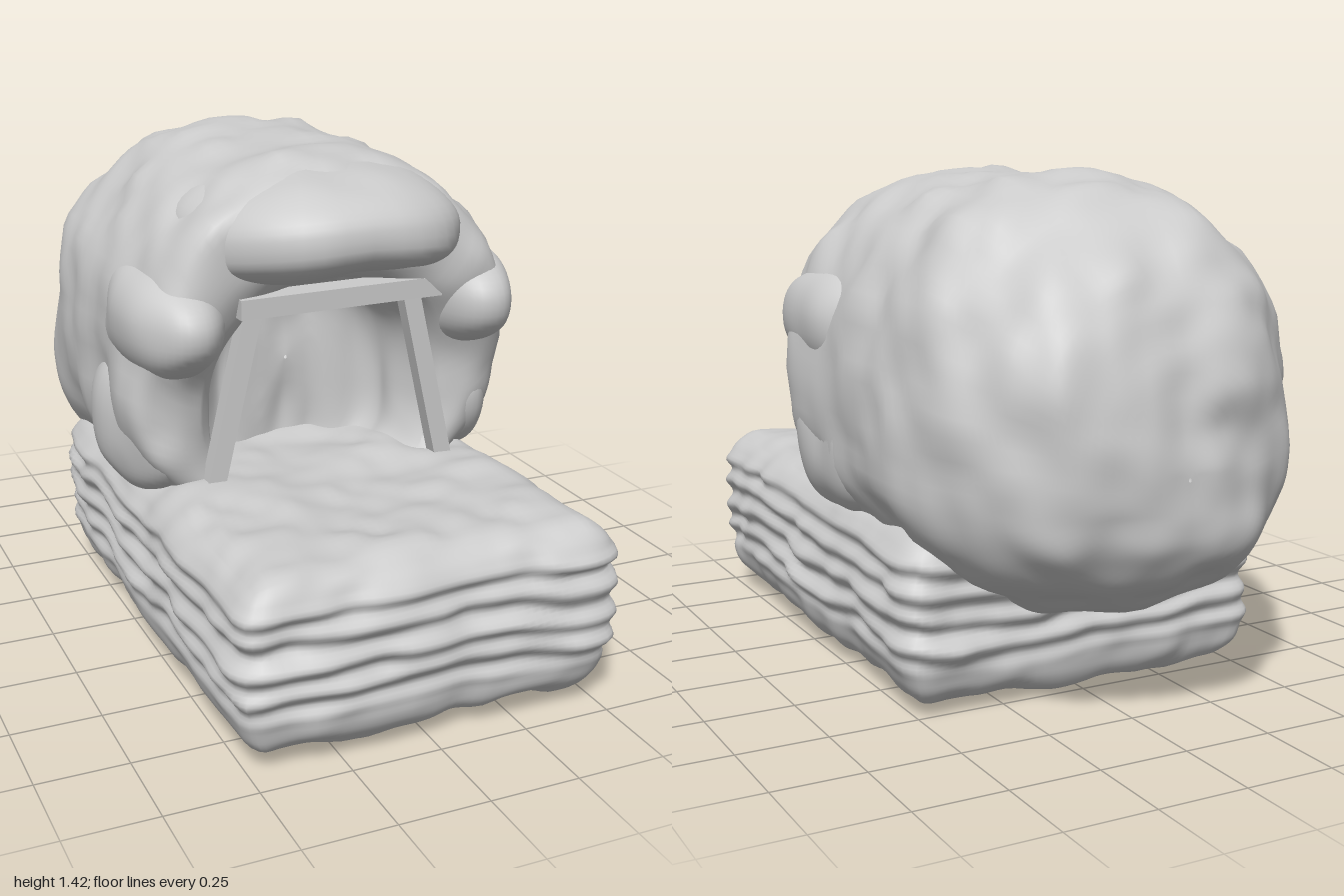
import * as THREE from 'three';
import { mergeVertices } from 'three/addons/utils/BufferGeometryUtils.js';

const material = new THREE.MeshStandardMaterial({ color: 0xcccccc, roughness: 0.9, side: THREE.DoubleSide });
const { lerp, smoothstep } = THREE.MathUtils;

// Smooth value noise, -1..1
function hash(x, y, z) {
  const s = Math.sin(x * 127.1 + y * 311.7 + z * 74.7) * 43758.5453;
  return (s - Math.floor(s)) * 2 - 1;
}
function noise(x, y, z) {
  const ix = Math.floor(x), iy = Math.floor(y), iz = Math.floor(z);
  const s = (t) => t * t * (3 - 2 * t);
  const u = s(x - ix), v = s(y - iy), w = s(z - iz);
  const edge = (b, c) => lerp(hash(ix, iy + b, iz + c), hash(ix + 1, iy + b, iz + c), u);
  return lerp(lerp(edge(0, 0), edge(1, 0), v), lerp(edge(0, 1), edge(1, 1), v), w);
}
const noiseAt = (p, f) => noise(p.x * f, p.y * f, p.z * f);
const power = (v, e) => Math.sign(v) * Math.abs(v) ** e;

// Move every vertex by a rule, weld and smooth
function reshape(geometry, rule) {
  geometry.deleteAttribute('normal');
  geometry.deleteAttribute('uv');
  const geo = mergeVertices(geometry, 1e-4);
  const pos = geo.attributes.position;
  const p = new THREE.Vector3();
  for (let i = 0; i < pos.count; i++) {
    rule(p.fromBufferAttribute(pos, i));
    pos.setXYZ(i, p.x, p.y, p.z);
  }
  geo.computeVertexNormals();
  return geo;
}

function add(group, name, geometry) {
  const mesh = new THREE.Mesh(geometry, material);
  mesh.name = name;
  group.add(mesh);
  return mesh;
}

// Lumpy slab with wavy layered sides
function slabGeometry() {
  const half = new THREE.Vector3(0.53, 0.25, 0.757);
  const r = 0.07;
  const inner = half.clone().subScalar(r);
  const low = inner.clone().negate();
  return reshape(new THREE.BoxGeometry(half.x * 2, half.y * 2, half.z * 2, 44, 48, 60), (p) => {
    const core = p.clone().clamp(low, inner);
    const dir = p.clone().sub(core).normalize();
    const side = 1 - Math.abs(dir.y);
    const band = smoothstep(p.y, -0.16, -0.08) * (1 - smoothstep(p.y, 0.14, 0.2));
    const wave = 0.9 * noise(p.x * 5, 3, p.z * 5);
    const layers = Math.sin(p.y * 82 + wave * 2.5) * 0.6 + noise(p.x * 5, p.y * 26 + wave, p.z * 5 + 9);
    const lumps = 0.016 * noise(p.x * 6 + 0.5, p.y * 4, p.z * 6 + 4) + 0.01 * noiseAt(p, 12);
    p.copy(core).addScaledVector(dir, r + lumps + side * band * (0.016 * layers + 0.012));
    // Edges draw in towards the underside and the top
    const taper = 1 - 0.07 * (1 - smoothstep(p.y, -0.26, -0.14)) - 0.07 * smoothstep(p.y, 0.17, 0.27);
    p.x *= taper;
    p.z *= lerp(1, taper, 0.5);
    p.y += 0.27 + 0.012 * p.z;
    p.z += 0.215;
  });
}

// Hollow boulder: [z, half width, top, bottom, forward lean of the upper part]
const rings = [
  [-0.02, 0.004, 0.76, 0.75, 0],
  [-0.02, 0.19, 0.95, 0.48, 0],
  [0.06, 0.28, 1.02, 0.42, 0],
  [0.18, 0.32, 1.05, 0.4, 0.02],
  [0.26, 0.36, 1.09, 0.4, 0.06],
  [0.3, 0.45, 1.2, 0.38, 0.09],
  [0.27, 0.54, 1.35, 0.36, 0.1],
  [0.17, 0.575, 1.395, 0.34, 0.07],
  [0, 0.58, 1.4, 0.32, 0.02],
  [-0.25, 0.585, 1.41, 0.29, 0],
  [-0.48, 0.58, 1.415, 0.28, 0],
  [-0.66, 0.53, 1.36, 0.28, 0],
  [-0.79, 0.45, 1.27, 0.33, 0],
  [-0.89, 0.36, 1.15, 0.4, 0],
  [-0.955, 0.24, 0.99, 0.48, 0],
  [-0.982, 0.1, 0.8, 0.57, 0],
  [-0.987, 0.004, 0.69, 0.68, 0],
];

function boulderGeometry() {
  const rows = 110, cols = 90;
  const spline = (f) => new THREE.CatmullRomCurve3(rings.map(f), false, 'catmullrom', 0.5);
  const sizes = spline(([z, w, , , lean]) => new THREE.Vector3(z, w, lean));
  const heights = spline(([, , top, bottom]) => new THREE.Vector3(top, bottom, 0));
  const points = [], index = [];
  for (let i = 0; i <= rows; i++) {
    const s = sizes.getPoint(i / rows), h = heights.getPoint(i / rows);
    const mid = lerp(h.y, h.x, 0.42);
    const rough = smoothstep(s.y, 0, 0.2);
    for (let k = 0; k < cols; k++) {
      const a = (k / cols) * Math.PI * 2;
      const c = power(Math.cos(a), 0.88), sn = power(Math.sin(a), 0.88);
      const p = new THREE.Vector3(c * s.y, mid + sn * (sn > 0 ? h.x - mid : mid - h.y), s.x);
      p.z += s.z * smoothstep(p.y, 0.75, 1.05);
      const dir = new THREE.Vector3(p.x, p.y - 0.8, p.z + 0.25).normalize();
      const inside = i / rows < 0.25;
      const bump = inside
        ? 0.06 * rough * noise(p.x * 13, p.y * 3, p.z * 6)
        : 0.024 * rough * noiseAt(p, 5.5) + 0.016 * noiseAt(p, 10);
      p.addScaledVector(dir, bump);
      points.push(p);
      if (i < rows) {
        const n = (k + 1) % cols, q = i * cols;
        index.push(q + k, q + cols + k, q + n, q + n, q + cols + k, q + cols + n);
      }
    }
  }
  const geo = new THREE.BufferGeometry().setFromPoints(points);
  geo.setIndex(index);
  geo.computeVertexNormals();
  return geo;
}

// Lump of rock; boxy < 1 squares it off, droop lowers its ends
function lumpGeometry(center, radii, boxy = 0.88, droop = 0) {
  return reshape(new THREE.SphereGeometry(1, 48, 32), (p) => {
    const dir = p.clone();
    p.set(power(p.x, boxy) * radii[0] + center[0], power(p.y, boxy) * radii[1] + center[1], p.z * radii[2] + center[2]);
    p.y -= droop * p.x * p.x;
    p.addScaledVector(dir, 0.016 * noiseAt(p, 7));
  });
}

export function createModel() {
  const model = new THREE.Group();
  model.name = 'caveEntrance';

  add(model, 'rockSlab', slabGeometry());

  const cave = new THREE.Group();
  cave.name = 'cave';
  model.add(cave);
  add(cave, 'boulder', boulderGeometry());
  add(cave, 'browRock', lumpGeometry([0, 1.235, 0.12], [0.41, 0.16, 0.46], 0.8, 0.35));
  for (const side of [-1, 1]) {
    const label = side > 0 ? 'left' : 'right';
    add(cave, label + 'UpperRock', lumpGeometry([side * 0.44, 0.975, 0.14], [0.135, 0.16, 0.305]));
    add(cave, label + 'LowerRock', lumpGeometry([side * 0.465, 0.65, 0.02], [0.12, 0.2, 0.28]));
  }

  // Timber frame in the opening
  const frame = new THREE.Group();
  frame.name = 'timberFrame';
  model.add(frame);
  for (const side of [-1, 1]) {
    const foot = new THREE.Vector2(side * 0.365, 0.46), head = new THREE.Vector2(side * 0.235, 1.02);
    const post = add(frame, side > 0 ? 'leftPost' : 'rightPost',
      new THREE.BoxGeometry(0.052, foot.distanceTo(head), 0.05));
    post.position.set((foot.x + head.x) / 2, (foot.y + head.y) / 2, 0.3);
    post.rotation.z = Math.atan2(foot.x - head.x, head.y - foot.y);
  }
  const beam = add(frame, 'beam', new THREE.BoxGeometry(0.61, 0.055, 0.08));
  beam.position.set(0.005, 1.035, 0.335);
  beam.rotation.y = 0.04;

  return model;
}
